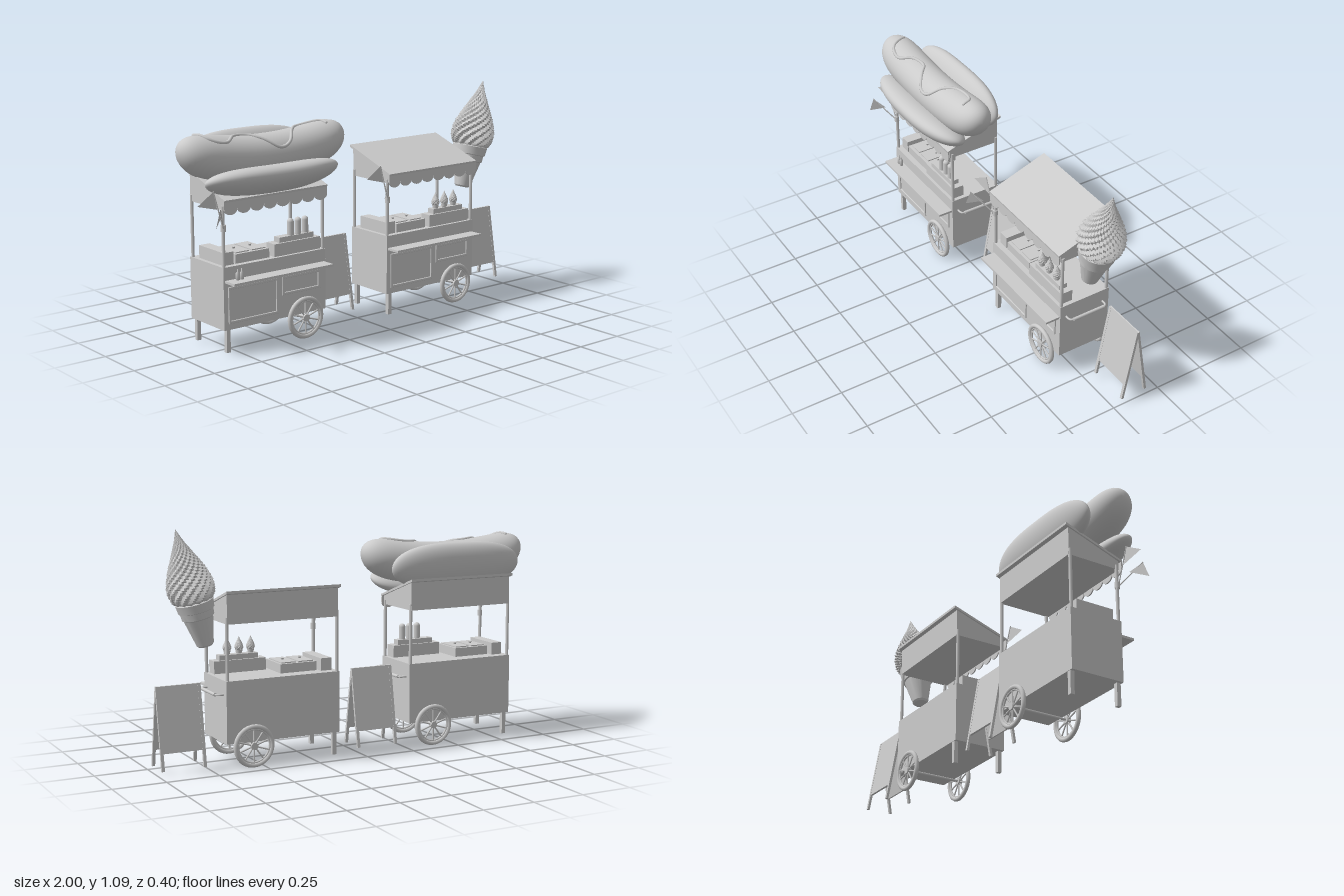
import * as THREE from 'three';
import { mergeVertices, toCreasedNormals } from 'three/addons/utils/BufferGeometryUtils.js';

const mat = new THREE.MeshStandardMaterial({ color: 0xcccccc });
const thin = new THREE.MeshStandardMaterial({ color: 0xcccccc, side: THREE.DoubleSide });
const V = (x, y, z) => new THREE.Vector3(x, y, z);

function add(parent, name, geo, x = 0, y = 0, z = 0, material = mat) {
  const m = new THREE.Mesh(geo, material);
  m.name = name;
  m.position.set(x, y, z);
  parent.add(m);
  return m;
}

// Box given by its minimum and maximum on each axis
function box(parent, name, x0, x1, y0, y1, z0, z1) {
  return add(parent, name, new THREE.BoxGeometry(x1 - x0, y1 - y0, z1 - z0),
    (x0 + x1) / 2, (y0 + y1) / 2, (z0 + z1) / 2);
}

// Straight round bar between two points
function rod(parent, name, a, b, r, sides = 10) {
  const m = add(parent, name, new THREE.CylinderGeometry(r, r, a.distanceTo(b), sides));
  m.position.copy(a).lerp(b, 0.5);
  m.quaternion.setFromUnitVectors(V(0, 1, 0), b.clone().sub(a).normalize());
  return m;
}

// Side profile of [z, y] points extruded along x, centred
function sideProfile(points, width) {
  const shape = new THREE.Shape(points.map(p => new THREE.Vector2(...p)));
  return new THREE.ExtrudeGeometry(shape, { depth: width, bevelEnabled: false })
    .rotateY(-Math.PI / 2).translate(width / 2, 0, 0);
}

// Rounded loaf along x: half length, half height, half depth, end bluntness, upward bend
function loaf(len, h, d, blunt, bend) {
  let g = new THREE.SphereGeometry(1, 36, 36).rotateZ(Math.PI / 2);
  g.deleteAttribute('uv');
  g.deleteAttribute('normal');
  g = mergeVertices(g, 1e-4);
  const p = g.attributes.position;
  for (let i = 0; i < p.count; i++) {
    const u = p.getX(i), q = Math.hypot(p.getY(i), p.getZ(i));
    const s = q < 1e-4 ? 0 : Math.sqrt(Math.max(0, 1 - Math.abs(u) ** blunt)) / q;
    p.setXYZ(i, u * len, p.getY(i) * h * s + bend * u * u, p.getZ(i) * d * s);
  }
  g.computeVertexNormals();
  return g;
}

function wheel(parent, x, y, z) {
  const w = new THREE.Group();
  w.name = 'wheel';
  w.position.set(x, y, z);
  add(w, 'tyre', new THREE.TorusGeometry(0.09, 0.011, 10, 40));
  add(w, 'innerRim', new THREE.TorusGeometry(0.078, 0.005, 8, 40));
  add(w, 'hub', new THREE.CylinderGeometry(0.017, 0.017, 0.02, 16).rotateX(Math.PI / 2));
  for (let i = 0; i < 10; i++) {
    const a = i * Math.PI / 5 + Math.PI / 2;
    rod(w, 'spoke', V(0, 0, 0), V(Math.cos(a) * 0.08, Math.sin(a) * 0.08, 0), 0.004, 6);
  }
  parent.add(w);
}

// Raised frame around a front panel
function panelFrame(parent, x0, x1, y0, y1, z) {
  const t = 0.009;
  const rect = (C, a, b, c, d) => new C([[a, c], [b, c], [b, d], [a, d]].map(p => new THREE.Vector2(...p)));
  const s = rect(THREE.Shape, x0, x1, y0, y1);
  s.holes.push(rect(THREE.Path, x0 + t, x1 - t, y0 + t, y1 - t));
  add(parent, 'panelFrame', new THREE.ExtrudeGeometry(s,
    { depth: 0.003, bevelThickness: 0.003, bevelSize: 0.002, bevelSegments: 2 }), 0, 0, z);
}

function pennant(parent, foot, tip, corners) {
  rod(parent, 'flagPole', foot, tip, 0.003, 6);
  const g = new THREE.BufferGeometry().setFromPoints(corners);
  g.computeVertexNormals();
  add(parent, 'flag', g, 0, 0, 0, thin);
}

function cart(name, x) {
  const c = new THREE.Group();
  c.name = name;
  c.position.x = x;
  box(c, 'body', -0.285, 0.285, 0.122, 0.412, -0.18, 0.088);
  panelFrame(c, -0.26, 0.01, 0.152, 0.318, 0.088);
  panelFrame(c, 0.035, 0.25, 0.232, 0.318, 0.088);
  box(c, 'shelf', -0.277, 0.277, 0.341, 0.352, 0.085, 0.16);

  // Wheels, axle and legs
  for (const z of [0.102, -0.19]) wheel(c, 0.157, 0.105, z);
  rod(c, 'axle', V(0.157, 0.107, 0.1), V(0.157, 0.107, -0.19), 0.006);
  for (const z of [0.073, -0.168]) box(c, 'leg', -0.27, -0.25, 0.015, 0.13, z - 0.01, z + 0.01);

  // Push handle
  const path = new THREE.CatmullRomCurve3([V(0.28, 0.347, 0.055), V(0.306, 0.347, 0.055), V(0.32, 0.347, 0.035),
    V(0.32, 0.347, -0.125), V(0.306, 0.347, -0.145), V(0.28, 0.347, -0.145)], false, 'catmullrom', 0.3);
  add(c, 'handle', new THREE.TubeGeometry(path, 40, 0.005, 8));
  rod(c, 'grip', V(0.32, 0.347, 0.04), V(0.32, 0.347, -0.13), 0.008);

  // Worktop: end box, lidded tray and stepped display
  box(c, 'endBox', -0.265, -0.21, 0.41, 0.471, -0.135, 0.06);
  box(c, 'tray', -0.2, -0.015, 0.41, 0.455, -0.11, 0.06);
  for (const lx of [-0.152, -0.063]) {
    box(c, 'lid', lx - 0.037, lx + 0.037, 0.45, 0.46, -0.095, 0.045);
    add(c, 'lidKnob', new THREE.CylinderGeometry(0.008, 0.006, 0.008, 10), lx, 0.464, -0.025);
  }
  box(c, 'displayBase', 0.005, 0.265, 0.41, 0.471, 0.012, 0.073);
  box(c, 'displayStep', 0.04, 0.235, 0.47, 0.495, 0.022, 0.063);

  // Posts and wedge canopy with scalloped valance
  for (const px of [-0.276, 0.276]) {
    rod(c, 'frontPost', V(px, 0.41, 0.079), V(px, 0.69, 0.079), 0.008);
    rod(c, 'backPost', V(px, 0.41, -0.17), V(px, 0.7, -0.17), 0.008);
  }
  add(c, 'canopyBody', sideProfile([[-0.178, 0.67], [0.09, 0.67], [0.09, 0.712], [-0.178, 0.805]], 0.555));
  add(c, 'roof', sideProfile([[-0.195, 0.81], [0.105, 0.708], [0.107, 0.718], [-0.195, 0.822]], 0.57));
  const v = new THREE.Shape(), n = 8, r = 0.285 / n;
  v.moveTo(0.285, 0.715);
  v.lineTo(-0.285, 0.715);
  v.lineTo(-0.285, 0.678);
  for (let i = 0; i < n; i++)
    v.absellipse(-0.285 + r * (2 * i + 1), 0.678, r, 0.028, Math.PI, 2 * Math.PI, false);
  add(c, 'valance', new THREE.ExtrudeGeometry(v, { depth: 0.006, bevelEnabled: false, curveSegments: 8 }), 0, 0, 0.099);

  // Pair of pennants clamped on the front post
  rod(c, 'flagClamp', V(-0.276, 0.575, 0.081), V(-0.276, 0.605, 0.081), 0.012);
  const foot = V(-0.278, 0.585, 0.085);
  pennant(c, foot, V(-0.334, 0.765, 0.095), [V(-0.334, 0.762, 0.095), V(-0.423, 0.71, 0.105), V(-0.313, 0.68, 0.092)]);
  pennant(c, foot, V(-0.35, 0.7, 0.172), [V(-0.35, 0.698, 0.171), V(-0.38, 0.618, 0.18), V(-0.312, 0.652, 0.122)]);
  return c;
}

// Folding sign with a panel and two legs on each face
function signBoard(x) {
  const g = new THREE.Group();
  g.name = 'signBoard';
  g.position.set(x, 0.405, -0.114);
  for (const s of [-1, 1]) {
    const half = new THREE.Group();
    half.name = 'signHalf';
    half.rotation.x = -s * 0.17;
    box(half, 'signPanel', -0.107, 0.107, -0.3, 0, -0.005, 0.005);
    for (const lx of [-0.1, 0.1]) box(half, 'signLeg', lx - 0.007, lx + 0.007, -0.378, 0, -0.006, 0.006);
    g.add(half);
  }
  return g;
}

// Wafer cone with a twisted, fluted swirl
function iceCream(flutes, rows) {
  const g = new THREE.Group();
  g.name = 'iceCream';
  const P = pts => pts.map(p => new THREE.Vector2(...p));
  const wafer = new THREE.LatheGeometry(P([[0, 0], [0.032, 0], [0.04, 0.008], [0.069, 0.135], [0.075, 0.139],
    [0.078, 0.17], [0.084, 0.173], [0.089, 0.213], [0.084, 0.217], [0, 0.217]]), 32);
  add(g, 'wafer', toCreasedNormals(wafer, 0.5));
  const prof = new THREE.SplineCurve(P([[0.06, 0.205], [0.092, 0.222], [0.108, 0.27], [0.1, 0.325], [0.076, 0.385],
    [0.046, 0.445], [0.02, 0.5], [0.001, 0.55]])).getPoints(rows);
  const swirl = new THREE.LatheGeometry(prof, flutes * 6);
  const p = swirl.attributes.position;
  for (let i = 0; i < p.count; i++) {
    const x = p.getX(i), y = p.getY(i), z = p.getZ(i);
    const turn = Math.atan2(x, z) / (2 * Math.PI) - 0.75 * ((y - 0.2) / 0.35) ** 1.3;
    const f = ((turn * flutes) % 1 + 1) % 1;
    // lopsided ridge: slow rise, quick fall
    const k = 0.86 + 0.2 * (f < 0.75 ? f / 0.75 : (1 - f) / 0.25);
    p.setXYZ(i, x * k, y, z * k);
  }
  add(g, 'swirl', toCreasedNormals(swirl, 0.6), 0, 0, 0, thin);
  return g;
}

function hotDog() {
  const g = new THREE.Group();
  g.name = 'hotDog';
  const cx = -0.553, cy = 0.872, cz = 0.005, R = 0.102, L = 0.447, bend = 0.06;
  add(g, 'sausage', loaf(L, R, R, 7, bend), cx, cy, cz);
  add(g, 'frontBun', loaf(0.355, 0.06, 0.115, 3, 0.02), cx, 0.78, 0.09).rotation.x = -0.445;
  add(g, 'backBun', loaf(0.355, 0.06, 0.115, 3, 0), cx, 0.87, -0.125).rotation.x = -1.77;
  // Sauce line of [x, z] points laid on the sausage
  const wave = [[-0.905, -0.02], [-0.87, 0.055], [-0.79, 0.07], [-0.72, 0.02], [-0.65, 0.01], [-0.6, 0.05], [-0.53, 0.093],
    [-0.46, 0.085], [-0.41, 0.03], [-0.36, -0.01], [-0.29, -0.015], [-0.23, 0.005], [-0.22, 0.04]];
  const flat = new THREE.CatmullRomCurve3(wave.map(([x, z]) => V(x, 0, z)));
  const line = flat.getPoints(80).map(({ x, z }) => {
    const u = (x - cx) / L, r = R * Math.sqrt(1 - Math.abs(u) ** 7);
    return V(x, cy + bend * u * u + Math.sqrt(Math.max(0, r * r - (z - cz) ** 2)), z);
  });
  add(g, 'sauce', new THREE.TubeGeometry(new THREE.CatmullRomCurve3(line), 120, 0.008, 8));
  for (const p of [line[0], line[line.length - 1]]) add(g, 'sauceEnd', new THREE.SphereGeometry(0.008, 10, 8), p.x, p.y, p.z);
  return g;
}

export function createModel() {
  const model = new THREE.Group();
  model.name = 'foodCarts';

  // Hot dog cart with small snacks and sauce bottles
  const a = cart('hotDogCart', -0.55);
  for (const x of [0.117, 0.159, 0.2])
    add(a, 'snack', new THREE.CapsuleGeometry(0.016, 0.06, 6, 14), x, 0.527, 0.045);
  const bottle = new THREE.LatheGeometry([[0, 0], [0.009, 0], [0.009, 0.03], [0.004, 0.036], [0.002, 0.05], [0, 0.05]]
    .map(p => new THREE.Vector2(...p)), 14);
  for (const x of [-0.222, -0.2]) add(a, 'sauceBottle', bottle, x, 0.352, 0.107);
  model.add(a, hotDog(), signBoard(-0.09));

  // Ice cream cart with small cones and the large tilted cone
  const b = cart('iceCreamCart', 0.3975);
  for (const x of [0.068, 0.127, 0.187]) {
    const s = iceCream(8, 14);
    s.scale.setScalar(0.19);
    s.position.set(x, 0.472, 0.045);
    b.add(s);
  }
  const big = iceCream(14, 40);
  big.position.set(0.722, 0.558, -0.036);
  big.rotation.z = -0.25;
  model.add(b, big, signBoard(0.89));
  return model;
}
